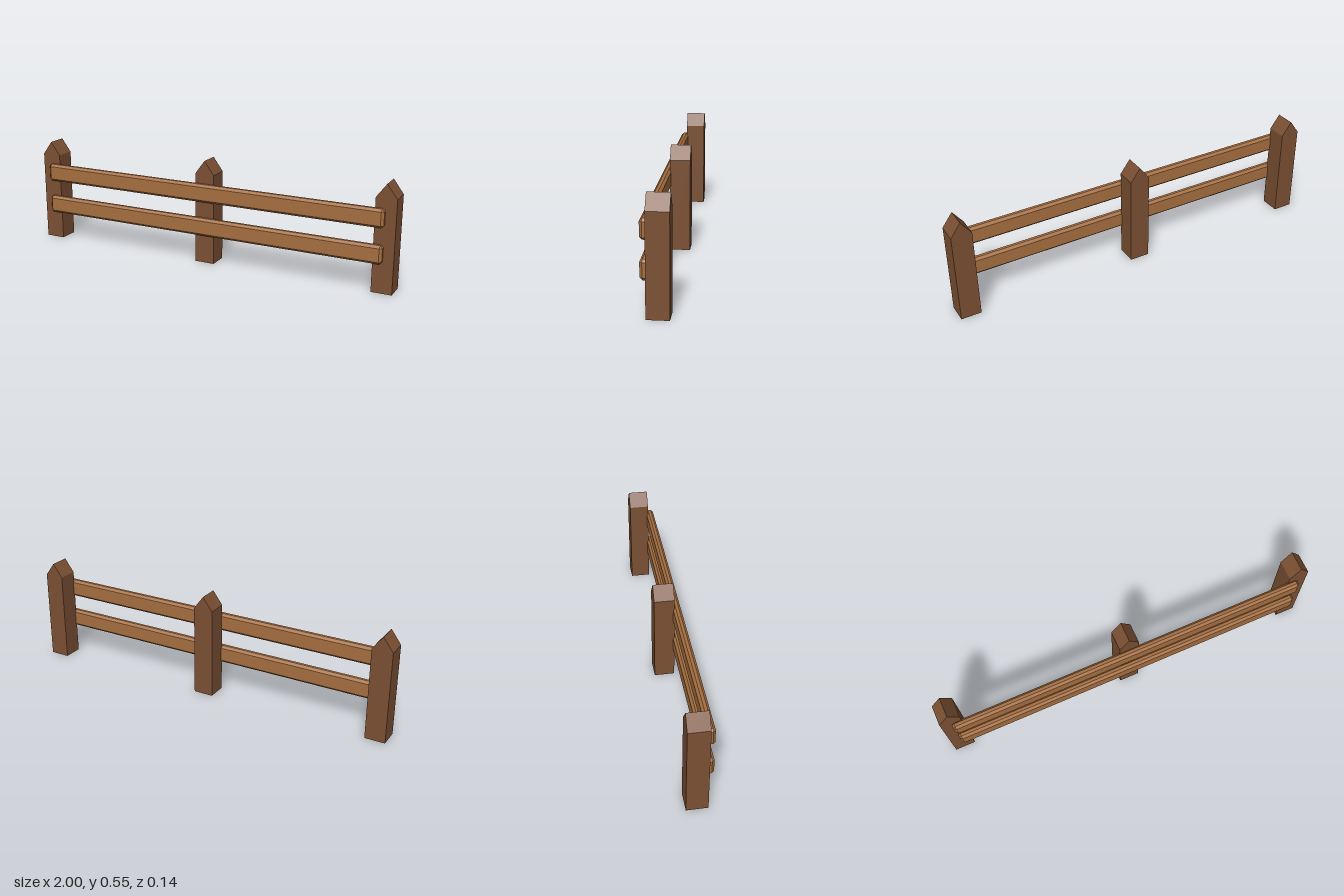
import * as THREE from 'three';
import { ConvexGeometry } from 'three/addons/geometries/ConvexGeometry.js';

const postWood = new THREE.MeshStandardMaterial({ color: 0x7b5033, flatShading: true });
const railWood = new THREE.MeshStandardMaterial({ color: 0xa66f40, flatShading: true });

// Square post with a gabled tip, extruded from front to back
function postGeometry(width, depth, shoulder, peak) {
  const w = width / 2;
  const shape = new THREE.Shape([
    new THREE.Vector2(-w, 0),
    new THREE.Vector2(w, 0),
    new THREE.Vector2(w, shoulder),
    new THREE.Vector2(0, peak),
    new THREE.Vector2(-w, shoulder),
  ]);
  return new THREE.ExtrudeGeometry(shape, { depth, bevelEnabled: false });
}

// Box with every edge chamfered: each corner becomes three points
function chamferedBox(width, height, depth, c) {
  const points = [];
  for (const sx of [-1, 1]) for (const sy of [-1, 1]) for (const sz of [-1, 1]) {
    const x = width / 2, y = height / 2, z = depth / 2;
    points.push(
      new THREE.Vector3(sx * x, sy * (y - c), sz * (z - c)),
      new THREE.Vector3(sx * (x - c), sy * y, sz * (z - c)),
      new THREE.Vector3(sx * (x - c), sy * (y - c), sz * z),
    );
  }
  return new ConvexGeometry(points);
}

export function createModel() {
  const fence = new THREE.Group();
  fence.name = 'fence';

  // Three posts
  const postGeo = postGeometry(0.104, 0.104, 0.475, 0.545);
  [['rightPost', -0.948], ['middlePost', 0], ['leftPost', 0.948]].forEach(([name, x]) => {
    const post = new THREE.Mesh(postGeo, postWood);
    post.name = name;
    post.position.set(x, 0, -0.068);
    fence.add(post);
  });

  // Two rails, set slightly into the front of the posts
  const railGeo = chamferedBox(1.896, 0.094, 0.04, 0.0125);
  [['lowerRail', 0.2], ['upperRail', 0.38]].forEach(([name, y]) => {
    const rail = new THREE.Mesh(railGeo, railWood);
    rail.name = name;
    rail.position.set(0, y, 0.049);
    fence.add(rail);
  });

  return fence;
}
